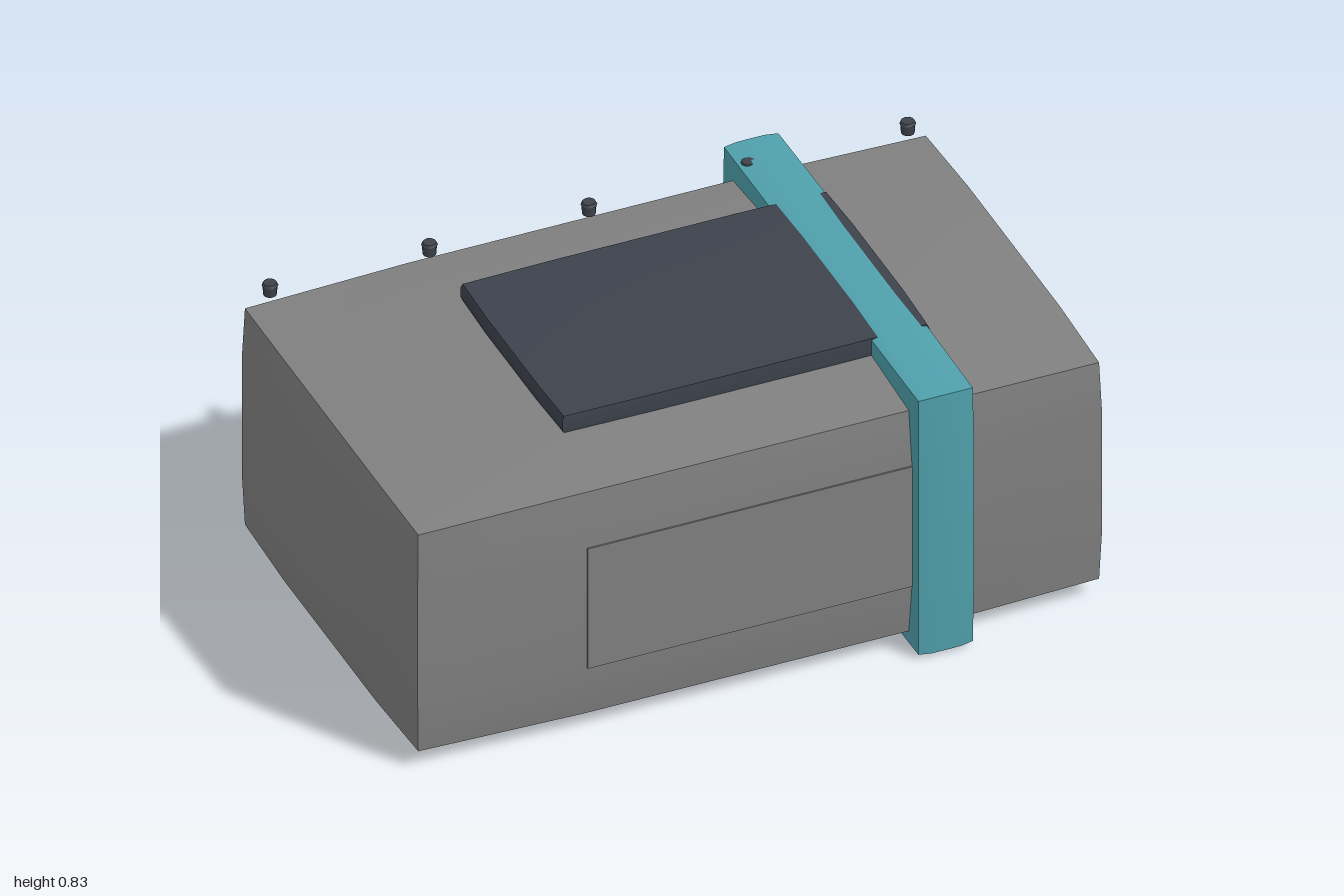
import * as THREE from 'three';

const mat = (name, color) => {
  const m = new THREE.MeshStandardMaterial({ color });
  m.name = name;
  return m;
};

// Box whose faces swell outwards: halves lists the [x, y, z] half sizes
// reached at face centres, along edges and at corners.
function bulgedBox(centre, halves, inner = [0.5, 0.5, 0.5]) {
  const geo = new THREE.BoxGeometry(2, 2, 2, 3, 3, 3);
  const pos = geo.attributes.position;
  for (let i = 0; i < pos.count; i++) {
    const p = [pos.getX(i), pos.getY(i), pos.getZ(i)];
    const outer = p.filter((c) => Math.abs(c) > 0.9).length;
    const half = halves[Math.max(outer, 1) - 1];
    const q = p.map((c, k) => centre[k] + Math.sign(c) *
      (Math.abs(c) > 0.9 ? half[k] : halves[0][k] * inner[k]));
    pos.setXYZ(i, ...q);
  }
  geo.computeVertexNormals();
  return geo;
}

export function createModel() {
  const group = new THREE.Group();
  const grey = mat('body grey', 0x808080);
  const slate = mat('dark slate', 0x3d424c);
  const teal = mat('strap teal', 0x4fa0ac);

  const add = (name, geo, material, x = 0, y = 0, z = 0) => {
    const mesh = new THREE.Mesh(geo, material);
    mesh.name = name;
    mesh.position.set(x, y, z);
    group.add(mesh);
    return mesh;
  };

  // Swollen main body
  add('body', bulgedBox([0, 0.405, 0],
    [[1, 0.375, 0.59], [0.97, 0.35, 0.566], [0.965, 0.343, 0.558]]), grey);

  // Flat panels on the front and back
  for (const s of [1, -1]) {
    add(s > 0 ? 'frontPanel' : 'backPanel',
      new THREE.BoxGeometry(1, 0.38, 0.008), grey, 0, 0.405, s * 0.59);
  }

  // Plate on top
  add('topPlate', bulgedBox([0.065, 0.803, 0],
    [[0.525, 0.028, 0.33], [0.52, 0.027, 0.329], [0.515, 0.026, 0.326]]), slate);

  // Band around the body
  add('strap', bulgedBox([0.5, 0.42, 0],
    [[0.08, 0.415, 0.637], [0.079, 0.405, 0.63], [0.077, 0.402, 0.626]]), teal);

  // Row of small studs along the rear edge
  for (let i = -2; i <= 2; i++) {
    add('stud', new THREE.CylinderGeometry(0.02, 0.018, 0.032, 10), slate,
      i * 0.452, 0.807, -0.535);
    add('studCap', new THREE.CylinderGeometry(0.018, 0.022, 0.008, 10), slate,
      i * 0.452, 0.824, -0.535);
  }
  return group;
}
